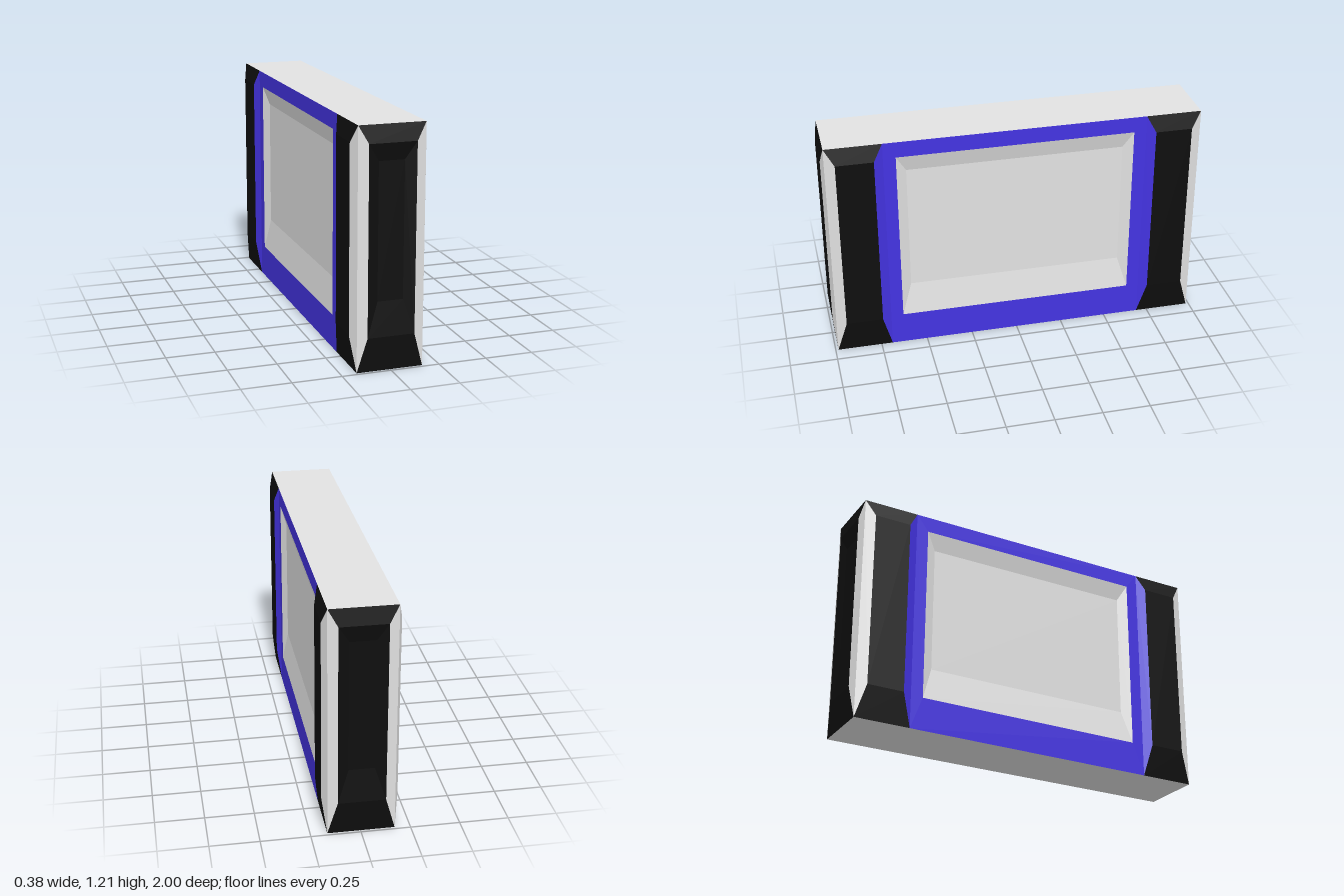
import * as THREE from 'three';

const HX = 0.169, HZ = 0.985, H = 1.21;   // half width, half length, height
const Y0 = 0.175, Y1 = 1.122;             // inset heights shared by all panels
const PAD = 0.022;                        // how far the corner pads stand out

const white = new THREE.MeshStandardMaterial({ color: 0xe2e2e2 });
white.name = 'casing white';
const black = new THREE.MeshStandardMaterial({ color: 0x0e0e0e });
black.name = 'bumper black';
const blue = new THREE.MeshStandardMaterial({ color: 0x4433e2 });
blue.name = 'frame blue';

// Flat quads from corner lists, counter-clockwise seen from outside
function quads(name, material, list) {
  const pos = [];
  for (const [a, b, c, d] of list) pos.push(...a, ...b, ...c, ...a, ...c, ...d);
  const g = new THREE.BufferGeometry();
  g.setAttribute('position', new THREE.Float32BufferAttribute(pos, 3));
  g.computeVertexNormals();
  const mesh = new THREE.Mesh(g, material);
  mesh.name = name;
  return mesh;
}

// Corners of a rectangle { u0, u1, v0, v1, h } facing +z
const rect = (u0, u1, v0, v1, h) => [[u0, v0, h], [u1, v0, h], [u1, v1, h], [u0, v1, h]];

// The four sloping faces between two rectangles: bottom, right, top, left
const ring = (o, i) => [0, 1, 2, 3].map((k) => {
  const n = (k + 1) % 4;
  return [o[k], o[n], i[n], i[k]];
});

// Narrow end: bulging black panel with a shallow recess and white edge strips
function endPanel(name) {
  const g = new THREE.Group();
  g.name = name;
  const outer = rect(-HX, HX, 0, H, HZ);
  const rim = rect(-0.12, 0.12, Y0, Y1, 1);
  const floor = rect(-0.065, 0.065, 0.35, 1.035, 0.982);
  const [bottom, right, top, left] = ring(outer, rim);
  g.add(quads('endBumper', black, [bottom, top, ...ring(rim, floor), floor]));
  g.add(quads('endEdgeStrips', white, [right, left]));
  return g;
}

// Broad side: blue frame round a recessed white panel, with a pad at each end
function sidePanel(name) {
  const g = new THREE.Group();
  g.name = name;
  const outer = rect(-0.69, 0.69, 0, H, HX);
  const opening = rect(-0.625, 0.625, Y0, Y1 + 0.003, HX);
  const floor = rect(-0.572, 0.572, 0.35, 1.035, HX - 0.025);
  g.add(quads('frame', blue, ring(outer, opening)));
  g.add(quads('recessedPanel', white, [...ring(opening, floor), floor]));

  for (const s of [-1, 1]) {
    const span = (a, b) => (s > 0 ? [a, b] : [-b, -a]);
    const base = rect(...span(0.69, HZ), 0, H, HX);
    const face = rect(...span(0.738, 0.933), Y0, Y1, HX + PAD);
    const [bottom, right, top, left] = ring(base, face);
    g.add(quads('sidePad', black, [bottom, top, face]));
    g.add(quads('padInnerBevel', blue, [s > 0 ? left : right]));
    g.add(quads('padOuterStrip', white, [s > 0 ? right : left]));
  }
  return g;
}

export function createModel() {
  const model = new THREE.Group();
  model.name = 'panelBlock';
  const body = new THREE.Group();
  body.name = 'body';
  body.position.x = -0.003;
  model.add(body);

  // Flat top and base
  body.add(quads('top', white, [[[-HX, H, HZ], [HX, H, HZ], [HX, H, -HZ], [-HX, H, -HZ]]]));
  body.add(quads('base', white, [[[-HX, 0, -HZ], [HX, 0, -HZ], [HX, 0, HZ], [-HX, 0, HZ]]]));

  // Front and back ends, then the two broad sides
  const front = endPanel('frontEnd');
  const back = endPanel('backEnd');
  back.rotation.y = Math.PI;
  const left = sidePanel('leftSide');
  left.rotation.y = Math.PI / 2;
  const right = sidePanel('rightSide');
  right.rotation.y = -Math.PI / 2;
  body.add(front, back, left, right);
  return model;
}
